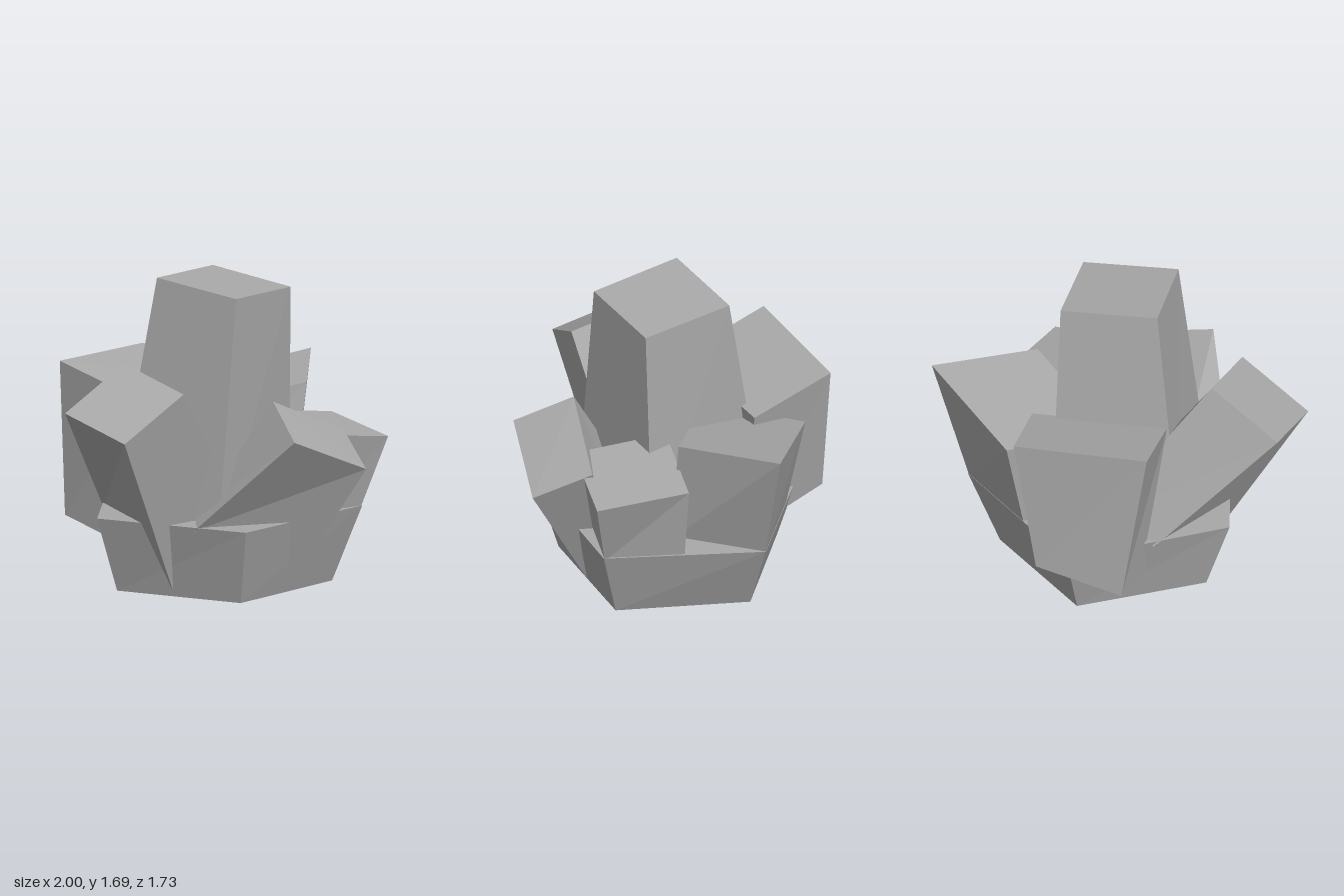
import * as THREE from 'three';

// Solid between two rings of corners, each listed clockwise as seen from above
function shard(name, bottom, top, material) {
  const n = top.length, pos = [];
  const tri = (a, b, c) => pos.push(...a, ...b, ...c);
  for (let i = 0; i < n; i++) {
    const j = (i + 1) % n;
    tri(bottom[j], bottom[i], top[i]);
    tri(bottom[j], top[i], top[j]);
  }
  for (let i = 1; i < n - 1; i++) {
    tri(top[0], top[i + 1], top[i]);
    tri(bottom[0], bottom[i], bottom[i + 1]);
  }
  const geometry = new THREE.BufferGeometry();
  geometry.setAttribute('position', new THREE.Float32BufferAttribute(pos, 3));
  geometry.computeVertexNormals();
  const mesh = new THREE.Mesh(geometry, material);
  mesh.name = name;
  return mesh;
}

export function createModel() {
  const stone = new THREE.MeshStandardMaterial({ color: 0xa8a8a8, flatShading: true });
  stone.name = 'grey stone';

  const group = new THREE.Group();
  group.name = 'crystalCluster';
  const add = (name, bottom, top) => group.add(shard(name, bottom, top, stone));

  // Five-sided base, flaring upward
  add('base',
    [[-0.57, 0, -0.25], [0.02, 0, -0.68], [0.61, 0, -0.25], [0.39, 0, 0.45], [-0.35, 0, 0.45]],
    [[-0.71, 0.42, -0.27], [0.03, 0.42, -0.83], [0.79, 0.41, -0.26], [0.5, 0.415, 0.57], [-0.43, 0.42, 0.56]]);

  // Tall crystal in the middle; rings run back -x, back +x, front +x, front -x
  add('centralCrystal',
    [[-0.47, 0.3, -0.38], [0.23, 0.3, -0.51], [0.32, 0.3, 0.2], [-0.39, 0.3, 0.32]],
    [[-0.28, 1.69, -0.22], [0.25, 1.66, -0.29], [0.3, 1.61, 0.23], [-0.22, 1.64, 0.3]]);

  // Leaning crystal on the -x side
  add('rightSideCrystal',
    [[-0.37, 0.39, -0.53], [0.02, 0.42, -0.52], [0.02, 0.29, 0.18], [-0.46, 0, 0.07]],
    [[-0.98, 1.05, -0.26], [-0.58, 1.27, -0.19], [-0.6, 1.17, 0.26], [-1, 0.95, 0.19]]);

  // Crystal leaning out at the front
  add('frontCrystal',
    [[-0.3, 0.45, 0.1], [0.15, 0.05, 0.15], [0.02, 0, 0.45], [-0.53, 0.4, 0.27]],
    [[-0.11, 1.08, 0.47], [0.35, 0.86, 0.57], [0.21, 0.71, 0.86], [-0.26, 0.92, 0.76]]);

  // Short crystal at the front on the +x side
  add('shortCrystal',
    [[0.2, 0.3, 0.1], [0.63, 0.39, 0.15], [0.49, 0.39, 0.56], [0.1, 0.3, 0.45]],
    [[0.21, 0.92, 0.07], [0.71, 0.84, 0.16], [0.61, 0.795, 0.66], [0.11, 0.87, 0.57]]);

  // Wide crystal on the +x side
  add('leftSideCrystal',
    [[0.36, 0.38, -0.57], [0.78, 0.39, -0.26], [0.42, 0.38, 0.14], [0, 0.38, -0.2]],
    [[0.43, 0.935, -0.66], [1, 1.08, -0.25], [0.53, 1.03, 0.14], [-0.04, 0.885, -0.27]]);

  // Upright crystal overhanging the back
  add('backCrystal',
    [[-0.3, 0.28, -0.87], [0.19, 0.36, -0.87], [0.24, 0.2, -0.4], [-0.32, 0.18, -0.4]],
    [[-0.42, 1.165, -0.8], [0.32, 1.13, -0.86], [0.38, 1, -0.38], [-0.36, 1.02, -0.29]]);

  return group;
}
